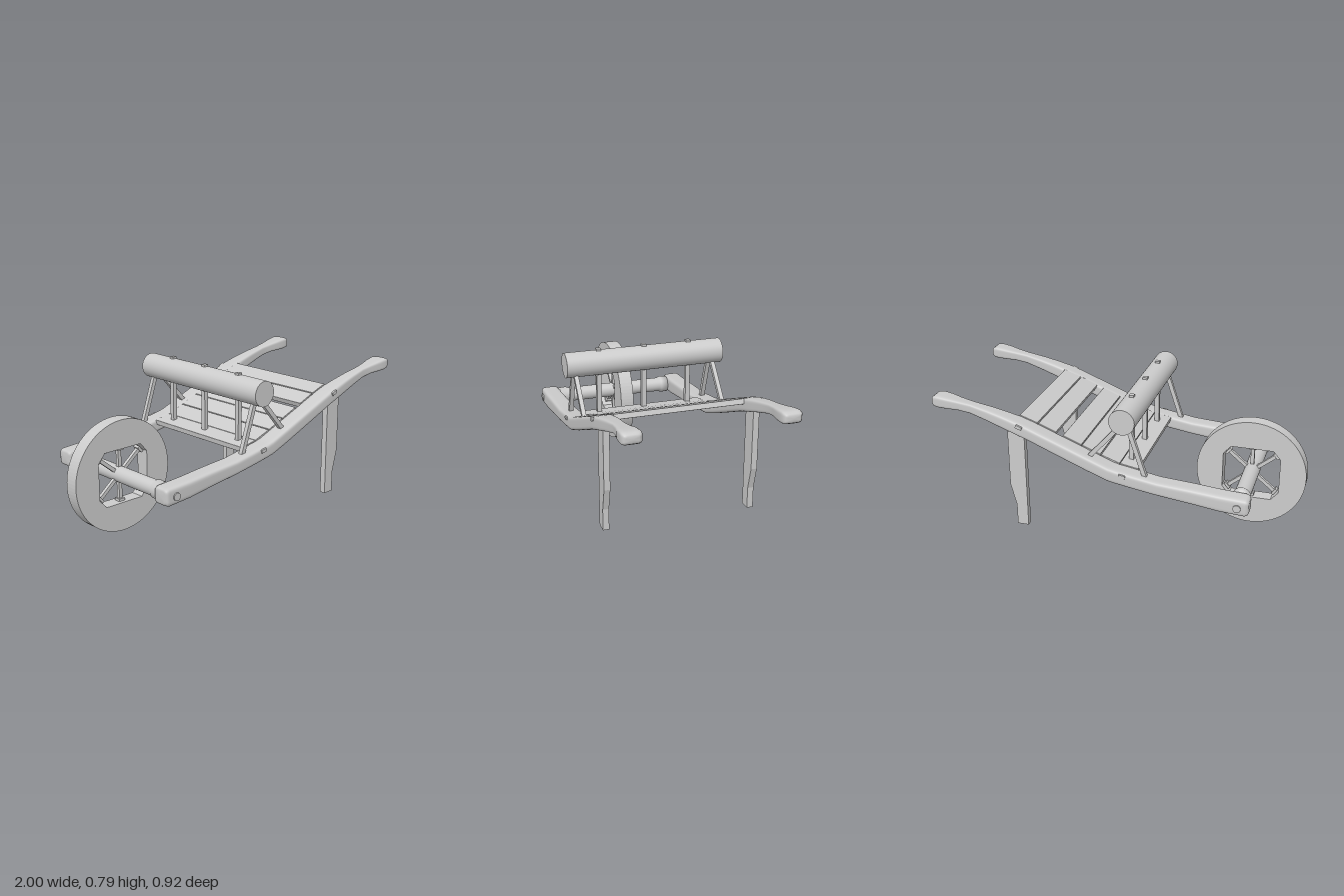
import * as THREE from 'three';
import { RoundedBoxGeometry } from 'three/addons/geometries/RoundedBoxGeometry.js';

const material = new THREE.MeshStandardMaterial({ color: 0xcccccc });
const RAIL_Z = 0.403;

// Rail stations: x, top, bottom, half width
const STATIONS = [
  [-0.757, 0.335, 0.275, 0.035], [-0.753, 0.346, 0.264, 0.046], [-0.738, 0.353, 0.257, 0.052],
  [-0.6, 0.36, 0.267, 0.053], [-0.45, 0.373, 0.288, 0.053], [-0.27, 0.385, 0.31, 0.053],
  [-0.15, 0.405, 0.328, 0.053], [-0.04, 0.424, 0.347, 0.053], [0.0, 0.435, 0.355, 0.053],
  [0.12, 0.482, 0.4, 0.053], [0.3, 0.553, 0.473, 0.053], [0.45, 0.612, 0.535, 0.053],
  [0.52, 0.636, 0.56, 0.052], [0.6, 0.658, 0.586, 0.046], [0.68, 0.677, 0.613, 0.04],
  [0.78, 0.697, 0.643, 0.032], [0.85, 0.71, 0.656, 0.039], [0.91, 0.723, 0.66, 0.05],
  [0.96, 0.731, 0.663, 0.053], [0.985, 0.729, 0.668, 0.051], [0.996, 0.721, 0.676, 0.043],
  [1.0, 0.712, 0.684, 0.032],
];

// Height of the rail's upper edge at x
function railTop(x) {
  const i = Math.max(1, STATIONS.findIndex((s) => s[0] >= x));
  const a = STATIONS[i - 1], b = STATIONS[i];
  return THREE.MathUtils.mapLinear(x, a[0], b[0], a[1], b[1]);
}

// Loft of rounded-rectangle sections with closed ends
function railGeometry() {
  const sides = 32, pos = [], idx = [];
  const soft = (v) => Math.sign(v) * Math.pow(Math.abs(v), 0.4);
  for (const [x, top, bottom, w] of STATIONS) {
    for (let j = 0; j < sides; j++) {
      const a = ((j + 0.5) / sides) * Math.PI * 2;
      pos.push(x, (top + bottom) / 2 + soft(Math.sin(a)) * (top - bottom) / 2, soft(Math.cos(a)) * w);
    }
  }
  const n = STATIONS.length;
  for (let i = 0; i < n - 1; i++) {
    for (let j = 0; j < sides; j++) {
      const k = (j + 1) % sides;
      const a = i * sides + j, b = i * sides + k, c = a + sides, d = b + sides;
      idx.push(a, c, b, b, c, d);
    }
  }
  for (const i of [0, n - 1]) {
    const [x, top, bottom] = STATIONS[i], centre = pos.length / 3;
    pos.push(x, (top + bottom) / 2, 0);
    for (let j = 0; j < sides; j++) {
      const a = i * sides + j, b = i * sides + (j + 1) % sides;
      if (i === 0) idx.push(centre, a, b);
      else idx.push(centre, b, a);
    }
  }
  const g = new THREE.BufferGeometry();
  g.setAttribute('position', new THREE.Float32BufferAttribute(pos, 3));
  g.setIndex(idx);
  g.computeVertexNormals();
  return g;
}

function add(parent, name, geometry, x = 0, y = 0, z = 0) {
  const mesh = new THREE.Mesh(geometry, material);
  mesh.name = name;
  mesh.position.set(x, y, z);
  parent.add(mesh);
  return mesh;
}

// Square bar between two points in a plane of constant z
function bar(parent, name, x1, y1, x2, y2, z, thick) {
  const length = Math.hypot(x2 - x1, y2 - y1);
  const mesh = add(parent, name, new THREE.BoxGeometry(thick, length, thick), (x1 + x2) / 2, (y1 + y2) / 2, z);
  mesh.rotation.z = Math.atan2(y2 - y1, x2 - x1) - Math.PI / 2;
  return mesh;
}

function createWheel() {
  const wheel = new THREE.Group();
  wheel.name = 'wheel';
  wheel.position.set(-0.697, 0.305, 0);

  // Solid rim with a chamfered opening
  const rim = new THREE.Shape().absarc(0, 0, 0.304, 0, Math.PI * 2, false);
  const corners = [[0.158, 0.1], [0.117, 0.148], [-0.117, 0.148], [-0.158, 0.1],
    [-0.158, -0.1], [-0.117, -0.148], [0.117, -0.148], [0.158, -0.1]];
  rim.holes.push(new THREE.Path(corners.map(([x, y]) => new THREE.Vector2(x, y)).reverse()));
  const geometry = new THREE.ExtrudeGeometry(rim, { depth: 0.078, bevelEnabled: false, curveSegments: 48 });
  add(wheel, 'rim', geometry, 0, 0, -0.039);

  // Six spokes with small feet
  for (const [x, y] of [[0, 0.148], [0.139, 0.114], [-0.139, 0.114]]) {
    for (const s of [1, -1]) {
      bar(wheel, 'spoke', 0, 0, x * s, y * s, 0, 0.02);
      const foot = add(wheel, 'spokeFoot', new THREE.BoxGeometry(0.038, 0.014, 0.038), x * s * 0.95, y * s * 0.95, 0);
      foot.rotation.z = Math.atan2(y * s, x * s) - Math.PI / 2;
    }
  }

  // Turned axle with thicker collars
  const profile = [[0, -0.352], [0.049, -0.352], [0.05, -0.31], [0.043, -0.295],
    [0.043, 0.295], [0.05, 0.31], [0.049, 0.352], [0, 0.352]];
  const axle = add(wheel, 'axle', new THREE.LatheGeometry(profile.map(([r, y]) => new THREE.Vector2(r, y)), 32));
  axle.rotation.x = Math.PI / 2;
  const pin = add(wheel, 'axlePin', new THREE.CylinderGeometry(0.021, 0.021, 0.924, 20));
  pin.rotation.x = Math.PI / 2;
  return wheel;
}

export function createModel() {
  const model = new THREE.Group();
  model.name = 'wheelbarrow';
  model.add(createWheel());

  const railGeo = railGeometry();
  const leg = new THREE.Shape([[0.476, 0], [0.54, 0], [0.54, 0.12], [0.572, 0.245], [0.572, 0.61], [0.476, 0.58]]
    .map(([x, y]) => new THREE.Vector2(x, y)));
  const legGeo = new THREE.ExtrudeGeometry(leg, { depth: 0.034, bevelEnabled: false });

  for (const side of [1, -1]) {
    const z = RAIL_Z * side;
    add(model, 'rail', railGeo, 0, 0, z);
    add(model, 'leg', legGeo, 0, 0, z + 0.005 * side - 0.017);
    // Struts from the rail to the crossbeam
    bar(model, 'strut', -0.195, 0.385, -0.1, 0.67, z, 0.024);
    bar(model, 'strut', 0.115, 0.47, -0.06, 0.67, z, 0.024);
    // Tenon ends on the outside of the rail
    for (const [x, y, tilt] of [[-0.08, 0.4, 0.17], [0.492, 0.61, 0.36]]) {
      add(model, 'tenon', new THREE.BoxGeometry(0.036, 0.018, 0.06), x, y, z + 0.029 * side).rotation.z = tilt;
    }
  }

  // Round crossbeam carried by the struts
  const beam = add(model, 'crossbeam', new THREE.CylinderGeometry(0.07, 0.07, 0.914, 40), -0.08, 0.71, 0);
  beam.rotation.x = Math.PI / 2;

  // Upright rods passing through the crossbeam
  for (const z of [-0.264, 0, 0.264]) bar(model, 'uprightRod', -0.08, 0.395, -0.08, 0.791, z, 0.026);

  // Sloping floor planks, flush with the rail tops
  const planks = [[-0.14, -0.038], [-0.034, 0.07], [0.075, 0.178], [0.182, 0.286], [0.325, 0.425], [0.43, 0.53]];
  for (const [x1, x2] of planks) {
    const y1 = railTop(x1), y2 = railTop(x2);
    const geometry = new RoundedBoxGeometry(Math.hypot(x2 - x1, y2 - y1), 0.03, 0.71, 1, 0.002);
    const plank = add(model, 'plank', geometry, (x1 + x2) / 2, (y1 + y2) / 2 - 0.015, 0);
    plank.rotation.z = Math.atan2(y2 - y1, x2 - x1);
  }
  return model;
}
